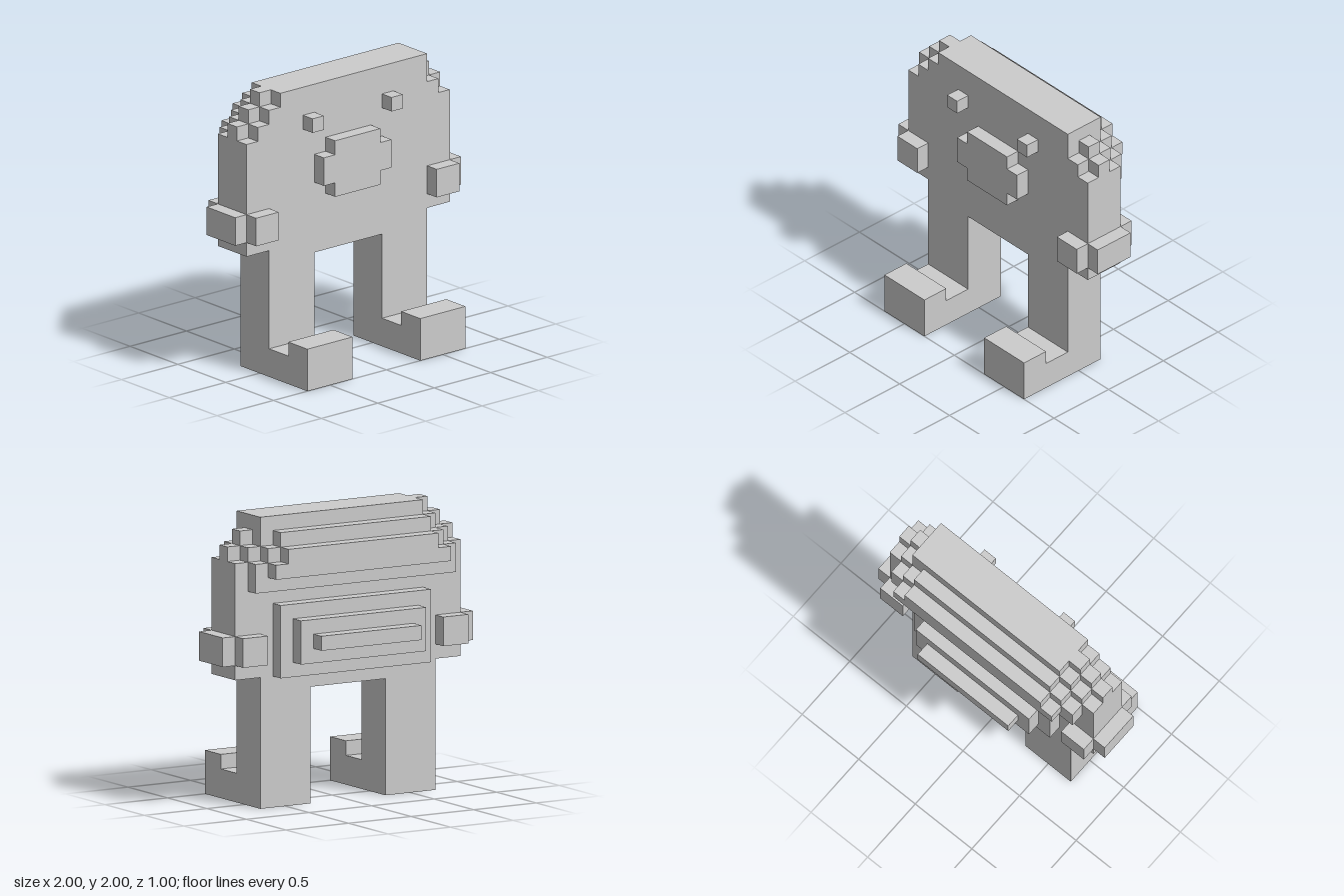
import * as THREE from 'three';

const material = new THREE.MeshStandardMaterial({ color: 0xcccccc, flatShading: true });

export function createModel() {
  const model = new THREE.Group();

  // box between two extents on each axis
  const box = (name, x0, x1, y0, y1, z0, z1) => {
    const mesh = new THREE.Mesh(new THREE.BoxGeometry(x1 - x0, y1 - y0, z1 - z0), material);
    mesh.position.set((x0 + x1) / 2, (y0 + y1) / 2, (z0 + z1) / 2);
    mesh.name = name;
    model.add(mesh);
  };
  // the same box on both sides
  const pair = (name, x0, x1, ...rest) => {
    box('left' + name, x0, x1, ...rest);
    box('right' + name, -x1, -x0, ...rest);
  };

  // flat body with stepped crown
  box('hips', -0.7, 0.7, 0.8, 0.9, -0.2, 0.1);
  box('body', -0.9, 0.9, 0.9, 1.7, -0.2, 0.1);
  box('brow', -0.8, 0.8, 1.7, 1.8, -0.2, 0.1);
  box('forehead', -0.7, 0.7, 1.8, 1.9, -0.2, 0.1);
  box('crown', -0.6, 0.7, 1.9, 2, -0.2, 0.1);

  // single blocks stepping down the sides of the head
  pair('LowerTuft', 0.8, 0.9, 1.7, 1.8, -0.1, 0);
  pair('MiddleTuft', 0.7, 0.8, 1.8, 1.9, -0.1, 0);
  box('rightUpperTuft', -0.7, -0.6, 1.9, 2, -0.1, 0);

  // layered bulge at the back of the head: half width, bottom, top, back, front
  [
    [0.8, 1.5, 1.7, -0.3, -0.2],
    [0.7, 1.7, 1.8, -0.3, -0.2],
    [0.6, 1.8, 1.9, -0.3, -0.2],
    [0.7, 1.6, 1.7, -0.4, -0.3],
    [0.6, 1.7, 1.8, -0.4, -0.3],
  ].forEach(([w, ...rest]) => box('headBackLayer', -w, w, ...rest));

  // stepped pyramid on the lower back
  [
    [0.6, 0.9, 1.4, -0.3, -0.2],
    [0.5, 1.0, 1.3, -0.4, -0.3],
    [0.4, 1.1, 1.2, -0.5, -0.4],
  ].forEach(([w, ...rest]) => box('lowerBackLayer', -w, w, ...rest));

  // face
  pair('Eye', 0.3, 0.4, 1.7, 1.8, 0.1, 0.2);
  box('muzzle', -0.2, 0.2, 1.2, 1.6, 0.1, 0.2);
  pair('Cheek', 0.2, 0.3, 1.3, 1.5, 0.1, 0.2);

  // arm bands wrapping the sides
  pair('Arm', 0.9, 1, 1, 1.2, -0.2, 0.1);
  pair('ArmFront', 0.7, 0.9, 1, 1.2, 0.1, 0.2);
  pair('ArmBack', 0.7, 0.9, 1, 1.2, -0.3, -0.2);

  // legs with upturned toes
  pair('Leg', 0.3, 0.7, 0, 0.8, -0.2, 0.1);
  pair('Foot', 0.3, 0.7, 0, 0.2, 0.1, 0.5);
  pair('Toe', 0.3, 0.7, 0.2, 0.3, 0.3, 0.5);

  return model;
}
